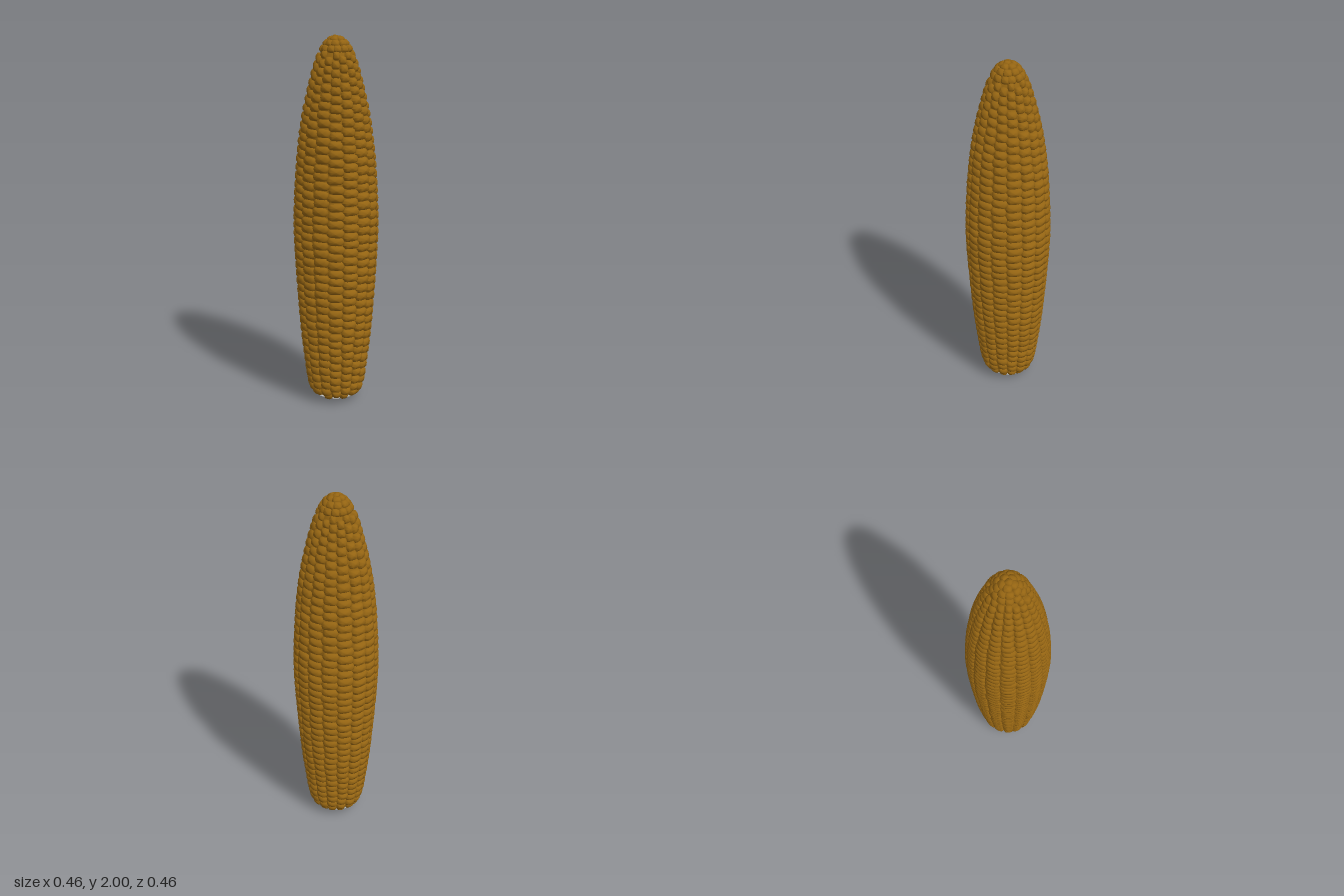
import * as THREE from 'three';
import { mergeGeometries } from 'three/addons/utils/BufferGeometryUtils.js';

const COLUMNS = 16;
const PITCH = 0.046; // kernel height along the cob

// Outer silhouette of the ear, from underside to tip
const profile = new THREE.CatmullRomCurve3([
  [0.122, 0.028], [0.148, 0.06], [0.163, 0.12], [0.176, 0.22], [0.196, 0.4], [0.211, 0.6],
  [0.223, 0.8], [0.23, 1], [0.223, 1.2], [0.208, 1.4], [0.18, 1.6], [0.134, 1.8],
  [0.102, 1.9], [0.067, 1.965], [0.035, 1.992], [0, 2],
].map(([r, y]) => new THREE.Vector3(r, y, 0)));

// Small seeded generator, values in -1..1
function makeNoise(seed) {
  return () => {
    seed = (seed * 16807) % 2147483647;
    return (seed / 2147483647) * 2 - 1;
  };
}

// Plump rounded block: a sphere pushed towards a cube
function makeKernel() {
  const geo = new THREE.SphereGeometry(1, 12, 7);
  geo.rotateX(Math.PI / 2);
  const p = geo.attributes.position;
  const square = (v, e) => Math.sign(v) * Math.abs(v) ** e;
  for (let i = 0; i < p.count; i++) {
    p.setXYZ(i, square(p.getX(i), 0.62), square(p.getY(i), 0.62), square(p.getZ(i), 0.9));
  }
  geo.computeVertexNormals();
  return geo;
}

export function createModel() {
  const model = new THREE.Group();
  model.name = 'cornCob';
  const yellow = new THREE.MeshStandardMaterial({ color: 0x946412 });
  const grey = new THREE.MeshStandardMaterial({ color: 0xcccccc, side: THREE.DoubleSide });
  const noise = makeNoise(4711);
  const kernel = makeKernel();
  const kernels = [];
  const length = profile.getLength();

  // Sets one kernel on the silhouette, facing along the surface normal
  function addKernel(s, angle, halfWidth, halfHeight, depth) {
    const u = THREE.MathUtils.clamp(s / length, 0, 1);
    const point = profile.getPointAt(u);
    const t = profile.getTangentAt(u);
    const cos = Math.cos(angle), sin = Math.sin(angle);
    const up = new THREE.Vector3(t.x * sin, t.y, t.x * cos);
    const out = new THREE.Vector3(t.y * sin, -t.x, t.y * cos);
    const side = new THREE.Vector3().crossVectors(up, out);
    const pos = new THREE.Vector3(point.x * sin, point.y, point.x * cos).addScaledVector(out, -depth);
    const m = new THREE.Matrix4().makeBasis(side, up, out).setPosition(pos);
    m.multiply(new THREE.Matrix4().makeRotationZ(noise() * 0.06));
    m.scale(new THREE.Vector3(halfWidth, halfHeight, depth));
    kernels.push(kernel.clone().applyMatrix4(m));
  }

  // Long kernel columns, each staggered against its neighbour
  const columnEnd = length - 0.135;
  const rows = Math.round(columnEnd / PITCH);
  const step = columnEnd / rows;
  for (let c = 0; c < COLUMNS; c++) {
    const stagger = (c % 2) * 0.5 + noise() * 0.15;
    for (let i = 0; i < rows; i++) {
      const s = Math.max(0.004, (i + 0.25 + stagger) * step + noise() * 0.003);
      const r = profile.getPointAt(Math.min(1, s / length)).x;
      const angle = (c / COLUMNS) * Math.PI * 2 + noise() * 0.025;
      const halfWidth = (r * Math.PI / COLUMNS) * (1.03 + noise() * 0.04);
      addKernel(s, angle, halfWidth, step * (0.53 + noise() * 0.03), 0.034 + noise() * 0.003);
    }
  }

  // Fewer kernels per ring as the tip closes
  [[0.108, 12], [0.072, 9], [0.036, 5], [0, 1]].forEach(([fromTip, count], ring) => {
    const r = profile.getPointAt(1 - fromTip / length).x;
    for (let k = 0; k < count; k++) {
      const angle = ((k + ring * 0.5) / count) * Math.PI * 2 + noise() * 0.06;
      const halfWidth = count === 1 ? 0.02 : (r * Math.PI / count) * 1.06;
      addKernel(length - fromTip, angle, halfWidth, 0.021, 0.024);
    }
  });

  const kernelMesh = new THREE.Mesh(mergeGeometries(kernels), yellow);
  kernelMesh.name = 'kernels';
  model.add(kernelMesh);

  // Solid body behind the kernels, closing the gaps between them
  const bodyPoints = profile.getSpacedPoints(40)
    .map((p) => new THREE.Vector2(Math.max(0, p.x - 0.022), Math.min(p.y + 0.012, 1.98)));
  const body = new THREE.Mesh(new THREE.LatheGeometry(bodyPoints, 32), yellow);
  body.name = 'body';
  model.add(body);

  // Pale cut end of the cob with its raised pith
  const endPoints = [[0, 0.008], [0.045, 0.004], [0.055, 0], [0.064, 0.004], [0.07, 0.018], [0.122, 0.036]]
    .map(([r, y]) => new THREE.Vector2(r, y));
  const cutEnd = new THREE.Mesh(new THREE.LatheGeometry(endPoints, 24), grey);
  cutEnd.name = 'cutEnd';
  model.add(cutEnd);

  return model;
}
